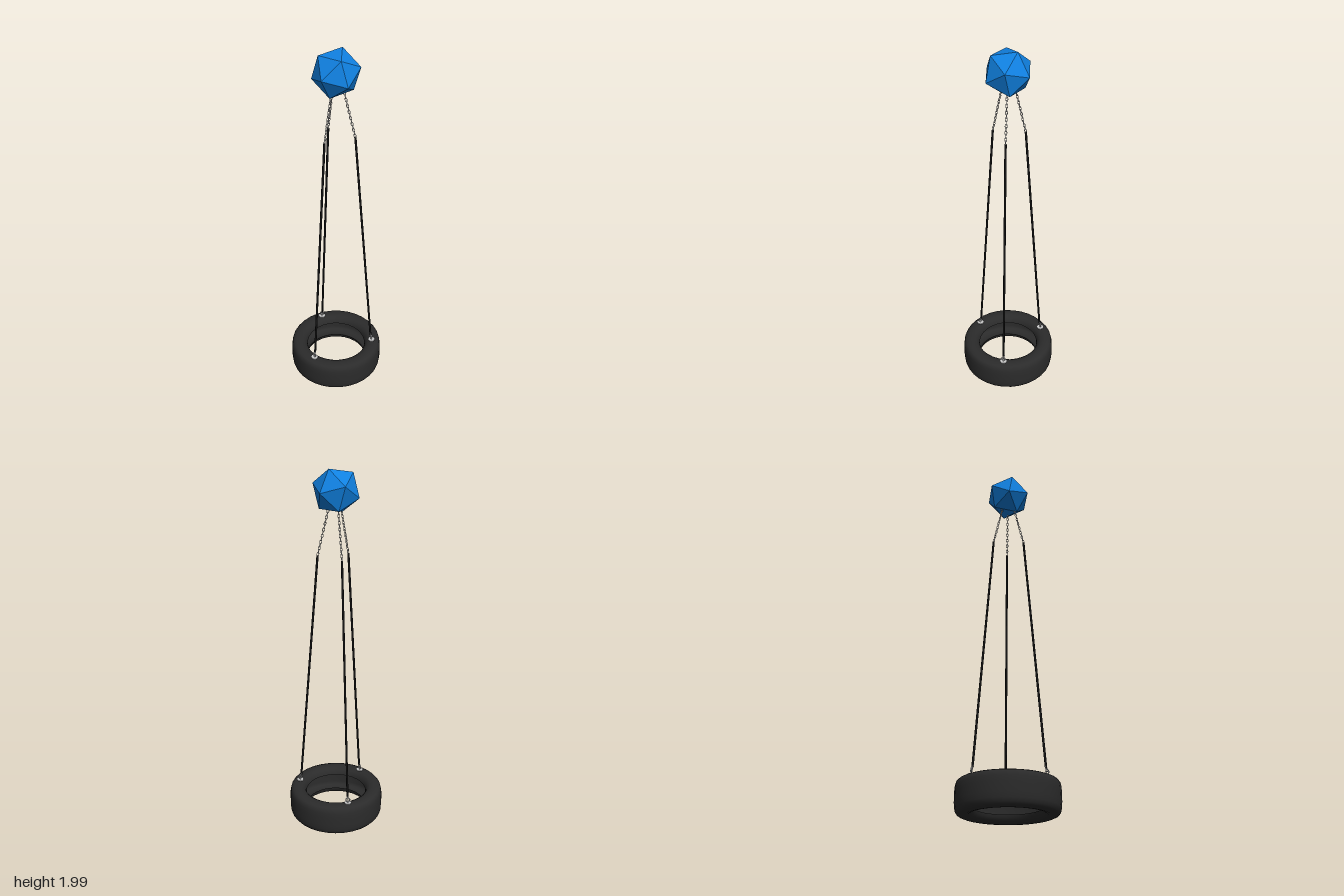
import * as THREE from 'three';

const UP = new THREE.Vector3(0, 1, 0);
const mat = (color, extra = {}) => new THREE.MeshStandardMaterial({ color, ...extra });

export function createModel() {
  const model = new THREE.Group();
  const metal = mat(0xcccccc);
  const ropeMat = mat(0x141414);

  const add = (parent, name, geometry, material, position) => {
    const mesh = new THREE.Mesh(geometry, material);
    mesh.name = name;
    if (position) mesh.position.copy(position);
    parent.add(mesh);
    return mesh;
  };

  // Anchor: icosahedron standing on a vertex, with an upper-ring vertex towards +x
  const anchorGeo = new THREE.IcosahedronGeometry(0.126, 0);
  const phi = (1 + Math.sqrt(5)) / 2;
  const tip = new THREE.Vector3(0, phi, 1).normalize();
  anchorGeo.applyQuaternion(new THREE.Quaternion().setFromUnitVectors(tip, UP));
  const pos = anchorGeo.attributes.position;
  for (let i = 0; i < pos.count; i++) {
    if (pos.getY(i) > 0.03 && pos.getY(i) < 0.1) {
      anchorGeo.rotateY(Math.atan2(pos.getZ(i), pos.getX(i)));
      break;
    }
  }
  add(model, 'anchor', anchorGeo, mat(0x1080e0, { flatShading: true }), new THREE.Vector3(0, 1.874, 0));

  // Tire: hollow, thin-walled section, open towards the middle
  const half = [[0.172, 0.046], [0.175, 0.06], [0.184, 0.076], [0.198, 0.085], [0.216, 0.0885],
    [0.238, 0.087], [0.252, 0.081], [0.261, 0.07], [0.265, 0.052], [0.267, 0.025]];
  const lining = [[0.257, 0.05], [0.25, 0.068], [0.235, 0.077], [0.205, 0.077], [0.188, 0.068], [0.172, 0.046]];
  const section = [
    ...half.map(([r, y]) => [r, -y]),
    ...[...half].reverse(),
    ...[...lining].reverse(),
    ...lining.map(([r, y]) => [r, -y]),
  ].map(([r, y]) => new THREE.Vector2(r, y));
  add(model, 'tire', new THREE.LatheGeometry(section, 32), mat(0x2b2b2b), new THREE.Vector3(0, 0.0885, 0));

  // Chain link: a ring stretched along y
  const linkGeo = new THREE.TorusGeometry(0.0055, 0.0016, 6, 12);
  linkGeo.scale(1, 1.9, 1);

  const addChain = (parent, name, from, to) => {
    const chain = new THREE.Group();
    chain.name = name;
    const dir = to.clone().sub(from);
    const count = Math.max(2, Math.round(dir.length() / 0.017));
    for (let i = 0; i < count; i++) {
      const link = add(chain, 'chainLink', linkGeo, metal, from.clone().lerp(to, (i + 0.5) / count));
      link.quaternion.setFromUnitVectors(UP, dir.clone().normalize());
      link.rotateY((i % 2) * Math.PI / 2);
    }
    parent.add(chain);
  };

  // Three hangers: washer, eye bolt, short chain, rope and upper chain
  const washerGeo = new THREE.CylinderGeometry(0.019, 0.019, 0.004, 20);
  const at = (r, y) => new THREE.Vector3(r, y, 0);
  for (let k = 0; k < 3; k++) {
    const hanger = new THREE.Group();
    hanger.name = 'hanger';
    hanger.rotation.y = k * Math.PI * 2 / 3;

    add(hanger, 'washer', washerGeo, metal, at(0.214, 0.178));
    add(hanger, 'lowerWasher', washerGeo, metal, at(0.214, 0.164));
    add(hanger, 'boltShank', new THREE.CylinderGeometry(0.004, 0.004, 0.034, 8), metal, at(0.214, 0.17));
    const eye = add(hanger, 'boltEye', new THREE.TorusGeometry(0.011, 0.003, 8, 16), metal, at(0.214, 0.197));
    eye.rotation.y = Math.PI / 2 - 0.3;
    addChain(hanger, 'lowerChain', at(0.213, 0.202), at(0.207, 0.226));

    const bottom = at(0.208, 0.215), top = at(0.098, 1.535);
    const rope = add(hanger, 'rope', new THREE.CylinderGeometry(0.006, 0.006, bottom.distanceTo(top), 10),
      ropeMat, bottom.clone().lerp(top, 0.5));
    rope.quaternion.setFromUnitVectors(UP, top.clone().sub(bottom).normalize());
    addChain(hanger, 'upperChain', top, at(0.032, 1.81));
    model.add(hanger);
  }
  return model;
}
